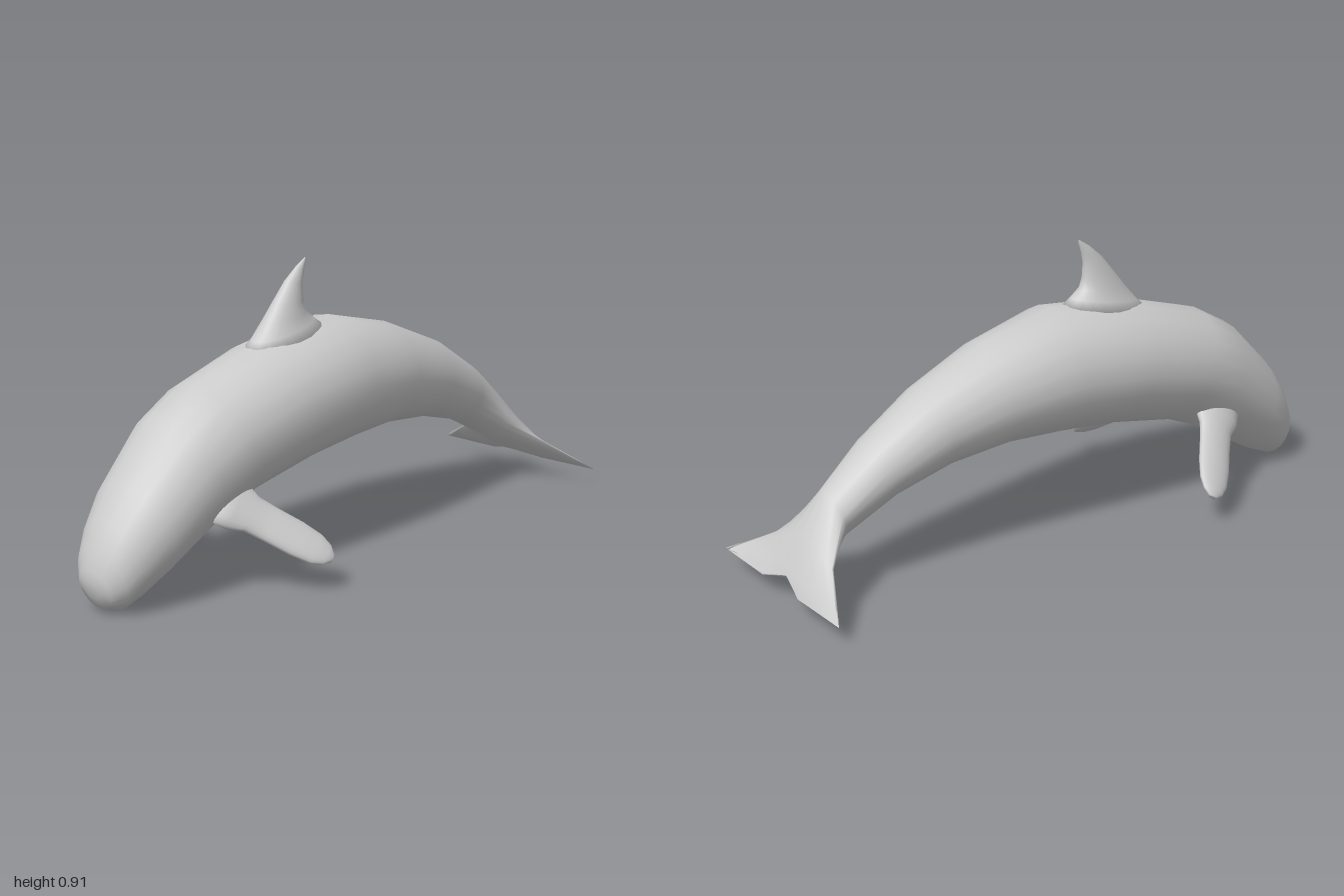
import * as THREE from 'three';

const SEG = 20;
const V = (x, y, z = 0) => new THREE.Vector3(x, y, z);
const material = new THREE.MeshStandardMaterial({ color: 0xcccccc, side: THREE.DoubleSide });

// Skins rings given as { c: centre, a, b: half axes, p: 0 = ellipse, higher = thin-edged lens }
function loft(name, sections, warp) {
  const pos = [], index = [];
  const dir = sections[1].c.clone().sub(sections[0].c);
  const flip = sections[0].a.clone().cross(sections[0].b).dot(dir) < 0 ? -1 : 1;
  for (const { c, a, b, p = 0 } of sections) {
    for (let j = 0; j < SEG; j++) {
      const t = (j / SEG) * Math.PI * 2 * flip, cos = Math.cos(t);
      const v = c.clone().addScaledVector(a, cos * Math.abs(cos) ** p).addScaledVector(b, Math.sin(t));
      if (warp) warp(v);
      pos.push(v.x, v.y, v.z);
    }
  }
  for (let i = 0; i < sections.length - 1; i++) {
    for (let j = 0; j < SEG; j++) {
      const k = i * SEG + j, l = i * SEG + (j + 1) % SEG;
      index.push(k, l, k + SEG, l, l + SEG, k + SEG);
    }
  }
  // End caps
  const last = (sections.length - 1) * SEG, n = pos.length / 3;
  for (const s of [sections[0], sections.at(-1)]) {
    const v = s.c.clone();
    if (warp) warp(v);
    pos.push(v.x, v.y, v.z);
  }
  for (let j = 0; j < SEG; j++) {
    const k = (j + 1) % SEG;
    index.push(n, k, j, n + 1, last + j, last + k);
  }
  const g = new THREE.BufferGeometry();
  g.setAttribute('position', new THREE.Float32BufferAttribute(pos, 3));
  g.setIndex(index);
  g.computeVertexNormals();
  const mesh = new THREE.Mesh(g, material);
  mesh.name = name;
  return mesh;
}

// Ring through two opposite points in the x-y plane, with half width w along z
function ring([x1, y1, x2, y2, w, p]) {
  return {
    c: V((x1 + x2) / 2, (y1 + y2) / 2),
    a: V((x1 - x2) / 2, (y1 - y2) / 2),
    b: V(0, 0, w), p,
  };
}

export function createModel() {
  const group = new THREE.Group();
  group.name = 'dolphin';

  // Body from snout to flukes: back point, belly point, half width, lens power
  const body = [
    [-1.0, 0.11, -0.985, 0.055, 0.03],
    [-0.998, 0.14, -0.965, 0.022, 0.065],
    [-0.983, 0.2, -0.92, 0.004, 0.1],
    [-0.945, 0.275, -0.86, 0.03, 0.128],
    [-0.875, 0.37, -0.77, 0.08, 0.158],
    [-0.72, 0.525, -0.59, 0.185, 0.187],
    [-0.59, 0.598, -0.435, 0.25, 0.197],
    [-0.32, 0.68, -0.2, 0.297, 0.206],
    [0.0, 0.718, 0.0, 0.318, 0.2],
    [0.26, 0.655, 0.22, 0.33, 0.168],
    [0.49, 0.56, 0.425, 0.31, 0.132],
    [0.68, 0.44, 0.61, 0.26, 0.104],
    [0.83, 0.32, 0.78, 0.17, 0.075, 0.3],
    [0.915, 0.2, 0.895, 0.11, 0.165, 1.5],
    [0.965, 0.11, 0.96, 0.077, 0.275, 2],
    [0.99, 0.066, 0.99, 0.062, 0.325, 2],
  ].map(ring);
  // Notch in the trailing edge of the flukes
  group.add(loft('bodyAndFlukes', body, (v) => {
    if (v.x > 0.955) {
      const k = Math.max(0, 1 - Math.abs(v.z) / 0.07) * (v.x - 0.955) / 0.035;
      v.x -= 0.022 * k;
      v.y += 0.028 * k;
    }
  }));

  // Dorsal fin: leading point, trailing point, half thickness
  group.add(loft('dorsalFin', [
    [-0.4, 0.63, -0.03, 0.69, 0.085],
    [-0.335, 0.685, -0.085, 0.727, 0.06],
    [-0.29, 0.735, -0.118, 0.752, 0.048],
    [-0.25, 0.785, -0.128, 0.785, 0.036],
    [-0.195, 0.85, -0.13, 0.835, 0.023],
    [-0.15, 0.888, -0.12, 0.872, 0.012],
    [-0.112, 0.912, -0.108, 0.906, 0.002],
  ].map(ring)));

  // Flippers: position along the axis, chord scale, thickness scale
  const profile = [
    [-0.15, 1.5, 1.7], [0.05, 1.4, 1.5], [0.2, 1.05, 1.1], [0.4, 1, 1],
    [0.65, 1, 0.95], [0.85, 0.88, 0.8], [0.96, 0.62, 0.6], [1.02, 0.25, 0.3],
  ];
  for (const side of [1, -1]) {
    const root = V(-0.575, 0.27, 0.14 * side), tip = V(-0.38, 0.105, 0.35 * side);
    const axis = tip.clone().sub(root);
    const chord = V(0.047, 0.034, -0.017 * side);
    const thick = axis.clone().cross(chord).setLength(0.024);
    group.add(loft(side > 0 ? 'frontFlipper' : 'backFlipper', profile.map(([t, s, h]) => ({
      c: root.clone().addScaledVector(axis, t),
      a: chord.clone().multiplyScalar(s),
      b: thick.clone().multiplyScalar(h),
    }))));
  }
  return group;
}
